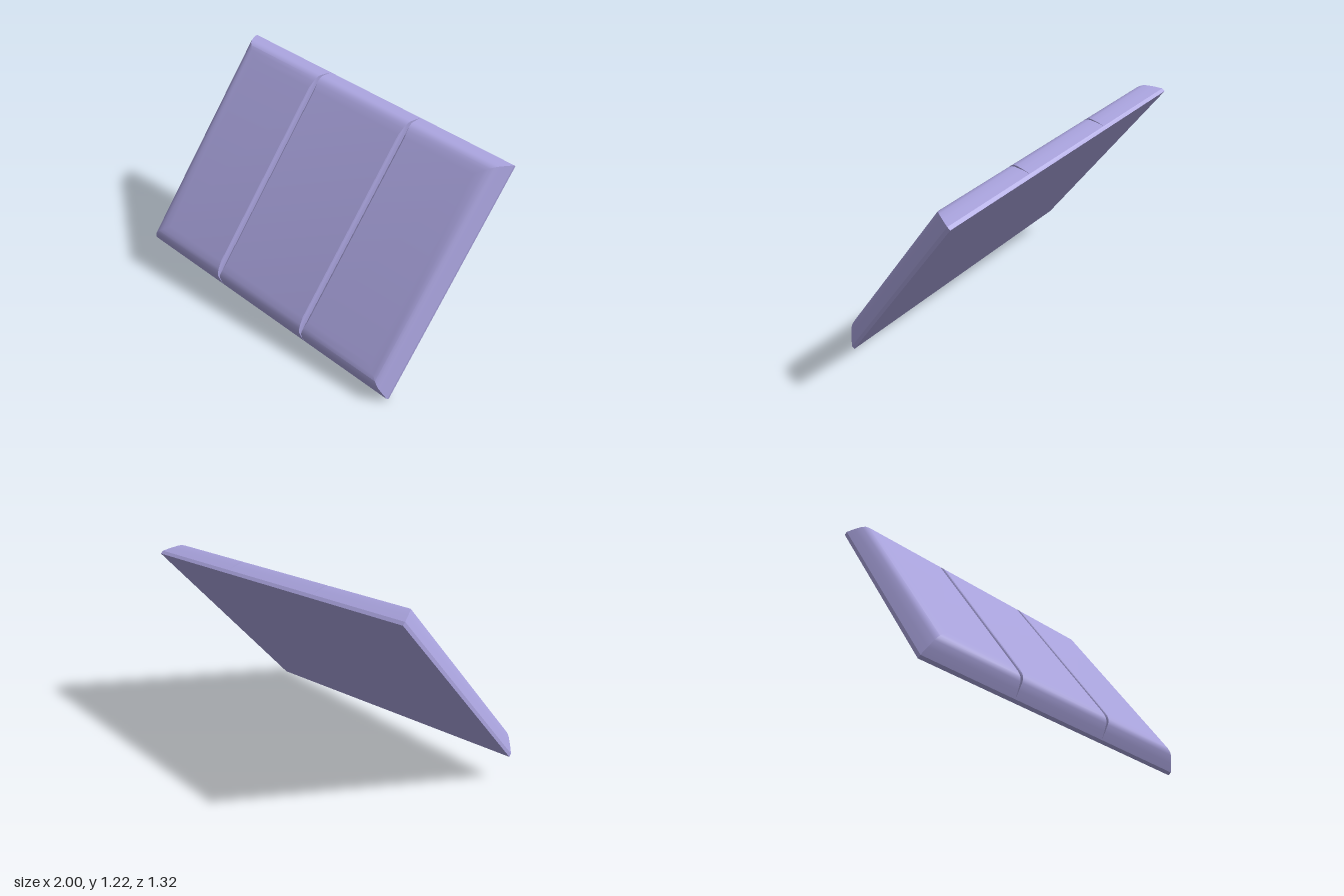
import * as THREE from 'three';
import { toCreasedNormals } from 'three/addons/utils/BufferGeometryUtils.js';

const WIDTH = 1.743, HEIGHT = 1.341, RIM = 0.02;

// Edge profile of a panel: [inset, height above the back]
const PROFILE = [
  [0, RIM], [0.02, 0.06], [0.04, 0.095], [0.052, 0.108],
  [0.068, 0.116], [0.09, 0.121], [0.13, 0.124],
];

// Cushioned panel from stacked rectangles; inner edges use a narrower inset
function panelGeometry(x0, x1, leftScale, rightScale) {
  const pos = [], index = [];
  for (const [d, h] of PROFILE) {
    const l = x0 + d * leftScale, r = x1 - d * rightScale;
    const b = -HEIGHT / 2 + d, t = HEIGHT / 2 - d;
    pos.push(l, b, h, r, b, h, r, t, h, l, t, h);
  }
  const last = (PROFILE.length - 1) * 4;
  for (let k = 0; k < last; k += 4) {
    for (let i = 0; i < 4; i++) {
      const j = (i + 1) % 4;
      index.push(k + i, k + j, k + 4 + j, k + i, k + 4 + j, k + 4 + i);
    }
  }
  index.push(last, last + 1, last + 2, last, last + 2, last + 3);
  const geo = new THREE.BufferGeometry();
  geo.setAttribute('position', new THREE.Float32BufferAttribute(pos, 3));
  geo.setIndex(index);
  return toCreasedNormals(geo, 0.42);
}

export function createModel() {
  const lavender = new THREE.MeshStandardMaterial({ color: 0xa8a2dc });
  lavender.name = 'lavender';
  const slab = new THREE.Group();
  slab.name = 'slab';

  // Thin backing plate
  const plate = new THREE.Mesh(new THREE.BoxGeometry(WIDTH, HEIGHT, RIM), lavender);
  plate.name = 'backPlate';
  plate.position.z = RIM / 2;
  slab.add(plate);

  // Three panels separated by narrow grooves
  const cuts = [-WIDTH / 2, -0.305, 0.305, WIDTH / 2];
  ['rightPanel', 'middlePanel', 'leftPanel'].forEach((name, i) => {
    const geo = panelGeometry(cuts[i], cuts[i + 1], i === 0 ? 1 : 0.15, i === 2 ? 1 : 0.15);
    const panel = new THREE.Mesh(geo, lavender);
    panel.name = name;
    slab.add(panel);
  });

  // Tilt the slab: its own axes given as directions in space
  const across = new THREE.Vector3(1.66, -0.152, 0.513).normalize();
  const up = new THREE.Vector3(0.335, 1.045, -0.765);
  const out = across.clone().cross(up).normalize();
  up.copy(out).cross(across);
  slab.quaternion.setFromRotationMatrix(new THREE.Matrix4().makeBasis(across, up, out));
  slab.position.set(0, 0.6, -0.02);

  const model = new THREE.Group();
  model.name = 'tiltedSlab';
  model.add(slab);
  return model;
}
